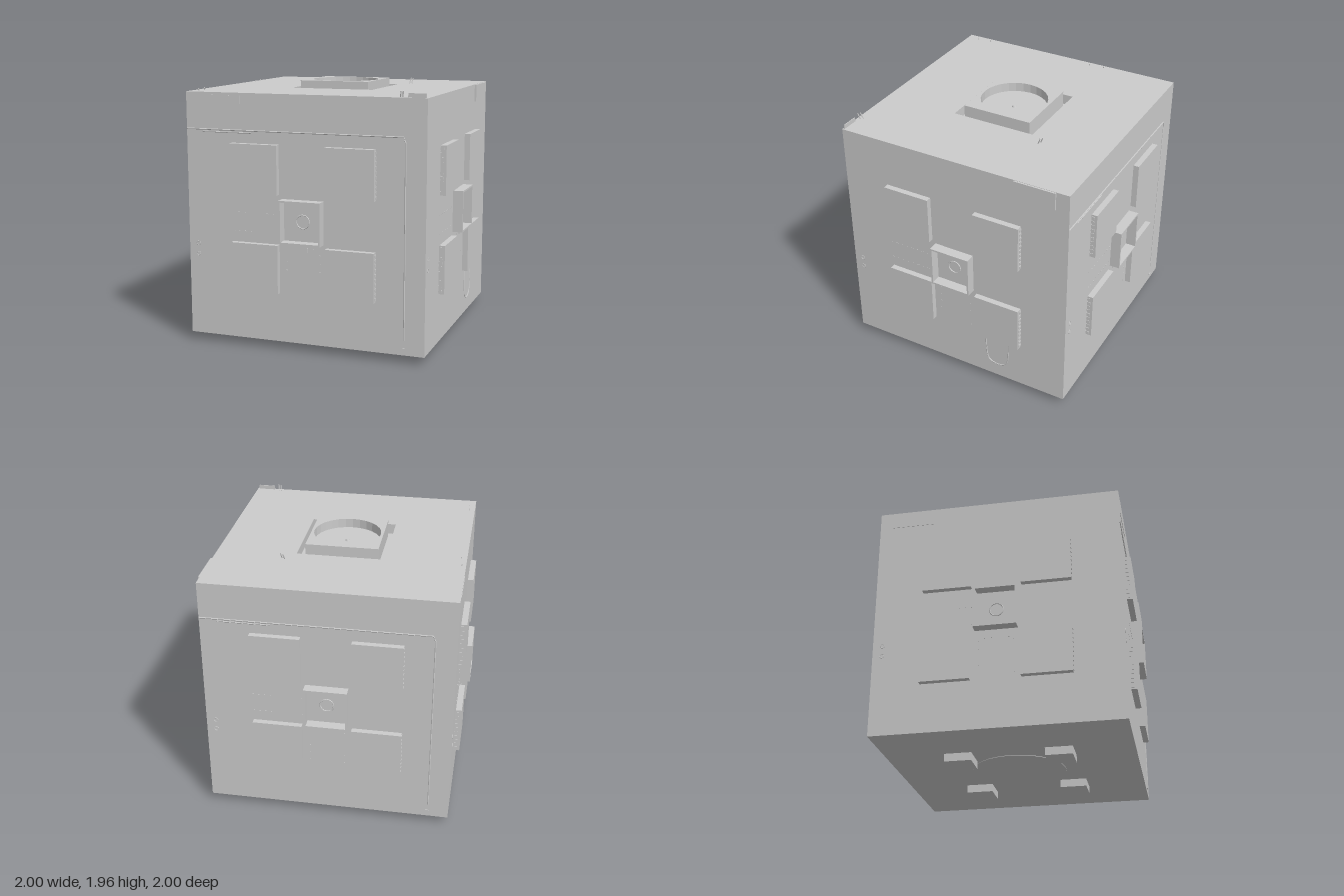
import * as THREE from 'three';

const mat = new THREE.MeshStandardMaterial({ color: 0xcccccc, flatShading: true });
const H = 0.922;           // half width of the cube
const Y0 = 0.06, Y1 = 1.9; // bottom and top of the cube

function add(parent, name, geometry, x = 0, y = 0, z = 0) {
  const mesh = new THREE.Mesh(geometry, mat);
  mesh.name = name;
  mesh.position.set(x, y, z);
  parent.add(mesh);
  return mesh;
}

const box = (parent, name, w, h, d, x, y, z) =>
  add(parent, name, new THREE.BoxGeometry(w, h, d), x, y, z);

function square(half, ShapeType = THREE.Shape) {
  const p = [[-half, -half], [half, -half], [half, half], [-half, half]];
  return new ShapeType(p.map(([x, y]) => new THREE.Vector2(x, y)));
}

// Square plate along z with a hole cut through
function holed(half, hole, depth) {
  const shape = square(half);
  shape.holes.push(hole);
  return new THREE.ExtrudeGeometry(shape, { depth, bevelEnabled: false, curveSegments: 14 });
}

function pipe(parent, name, points, radius, smooth = false) {
  const pts = points.map((p) => new THREE.Vector3(...p));
  let path = new THREE.CurvePath();
  if (smooth) path = new THREE.CatmullRomCurve3(pts);
  else for (let i = 1; i < pts.length; i++) path.add(new THREE.LineCurve3(pts[i - 1], pts[i]));
  add(parent, name, new THREE.TubeGeometry(path, smooth ? 40 : 60, radius, 6));
}

// One wall's fittings, modelled facing +z
function createSide(name) {
  const side = new THREE.Group();
  side.name = name;
  for (const sx of [-1, 1]) {
    for (const y of [0.615, 1.352]) {
      box(side, 'raisedPanel', 0.37, 0.366, 0.045, sx * 0.37, y, H + 0.0215);
      // Hinge knuckles on the panel's outer edge
      for (let i = 0; i < 10; i++) {
        box(side, 'hingeKnuckle', 0.006, 0.018, 0.026, sx * 0.556, y - 0.16 + i * 0.0355, H + 0.013);
      }
    }
  }

  // Open square socket with a round port at the back
  add(side, 'socketFrame', holed(0.16, square(0.147, THREE.Path), 0.08), 0, 0.98, H - 0.002);
  add(side, 'socketPort', new THREE.TorusGeometry(0.05, 0.005, 6, 24), 0, 0.98, H + 0.002);

  // Rivets and tabs around the socket
  for (const x of [-0.13, 0.13]) {
    for (let i = 0; i < 5; i++) box(side, 'rivet', 0.008, 0.008, 0.004, x, 0.48 + i * 0.065, H);
  }
  for (let i = 0; i < 4; i++) box(side, 'tab', 0.014, 0.03, 0.005, -0.09 + i * 0.06, 0.77, H);
  for (let i = 0; i < 9; i++) {
    for (const y of [0.88, 1.02]) box(side, 'rivet', 0.015, 0.005, 0.004, -0.55 + i * 0.045, y, H);
  }
  for (const y of [0.68, 0.76]) {
    add(side, 'smallRing', new THREE.TorusGeometry(0.015, 0.003, 5, 12), -0.85, y, H);
  }
  return side;
}

// Cable run along the upper wall and down one edge
function addCable(side) {
  const z = H;
  pipe(side, 'cable', [[-H, 1.627, z], [0.77, 1.627, z], [0.77, 0.17, z]], 0.006);
  pipe(side, 'cable', [[-0.79, 1.61, z], [-0.4, 1.61, z]], 0.005);
  box(side, 'cableClip', 0.03, 0.01, 0.01, 0.765, 0.11, z);
}

function addTop(group) {
  // Raised square block with a round well, standing in a square pocket
  const well = new THREE.Path();
  well.absarc(0, 0, 0.255, 0, Math.PI * 2, true);
  const block = add(group, 'hatchBlock', holed(0.274, well, 0.14), 0, 1.815, 0);
  block.rotation.x = -Math.PI / 2;
  add(group, 'hatchFloor', new THREE.CylinderGeometry(0.256, 0.256, 0.07, 28), 0, 1.85, 0);
  add(group, 'hatchKnob', new THREE.CylinderGeometry(0.012, 0.02, 0.015, 12), 0, 1.89, 0);

  // Small leaning rods: x, z, height
  const rods = [[0.4, -0.44, 0.05], [0.42, -0.43, 0.05], [0.72, 0.89, 0.05], [0.74, 0.9, 0.05],
    [-0.88, 0.71, 0.02], [-0.87, 0.82, 0.02], [-0.89, -0.33, 0.015], [-0.88, -0.21, 0.015]];
  for (const [x, z, h] of rods) {
    const rod = add(group, 'rod', new THREE.CylinderGeometry(0.004, 0.004, h, 6), x, Y1 + h / 2 - 0.003, z);
    rod.rotation.set(z < 0 ? -0.4 : 0.4, 0, -0.15);
  }
  box(group, 'cornerFlap', 0.13, 0.032, 0.006, 0.845, Y1 + 0.015, 0.91);
}

export function createModel() {
  const model = new THREE.Group();
  model.name = 'cubeModule';

  // Cube body, its top slab pierced by the hatch pocket
  const pocket = 0.08;
  const bodyHeight = Y1 - pocket - Y0;
  box(model, 'body', 2 * H, bodyHeight, 2 * H, 0, Y0 + bodyHeight / 2, 0);
  const slab = add(model, 'topSlab', holed(H, square(0.328, THREE.Path), pocket), 0, Y1 - pocket, 0);
  slab.rotation.x = -Math.PI / 2;
  addTop(model);

  // Four walls: front, +x, back, -x
  const sides = ['frontSide', 'leftSide', 'backSide', 'rightSide'].map((name, i) => {
    const side = createSide(name);
    side.rotation.y = i * Math.PI / 2;
    model.add(side);
    return side;
  });
  addCable(sides[0]);
  addCable(sides[2]);

  // Access covers near the top edge, and a hanging hose loop
  box(sides[0], 'accessCover', 0.34, 0.12, 0.006, -0.655, 1.82, H);
  box(sides[1], 'accessCover', 0.32, 0.135, 0.028, 0.66, 1.83, H);
  box(sides[3], 'accessCover', 0.34, 0.12, 0.006, -0.65, 1.83, H);
  pipe(sides[1], 'hoseLoop', [[0.26, 0.43, H], [0.262, 0.32, H], [0.285, 0.2, H], [0.357, 0.172, H],
    [0.43, 0.2, H], [0.453, 0.32, H], [0.455, 0.43, H]], 0.005, true);

  // Feet and round base plate
  for (const x of [-0.375, 0.375]) {
    for (const z of [-0.375, 0.375]) box(model, 'foot', 0.205, 0.062, 0.205, x, 0.031, z);
  }
  add(model, 'basePlate', new THREE.CylinderGeometry(0.36, 0.36, 0.008, 36), 0, Y0, 0);
  return model;
}
